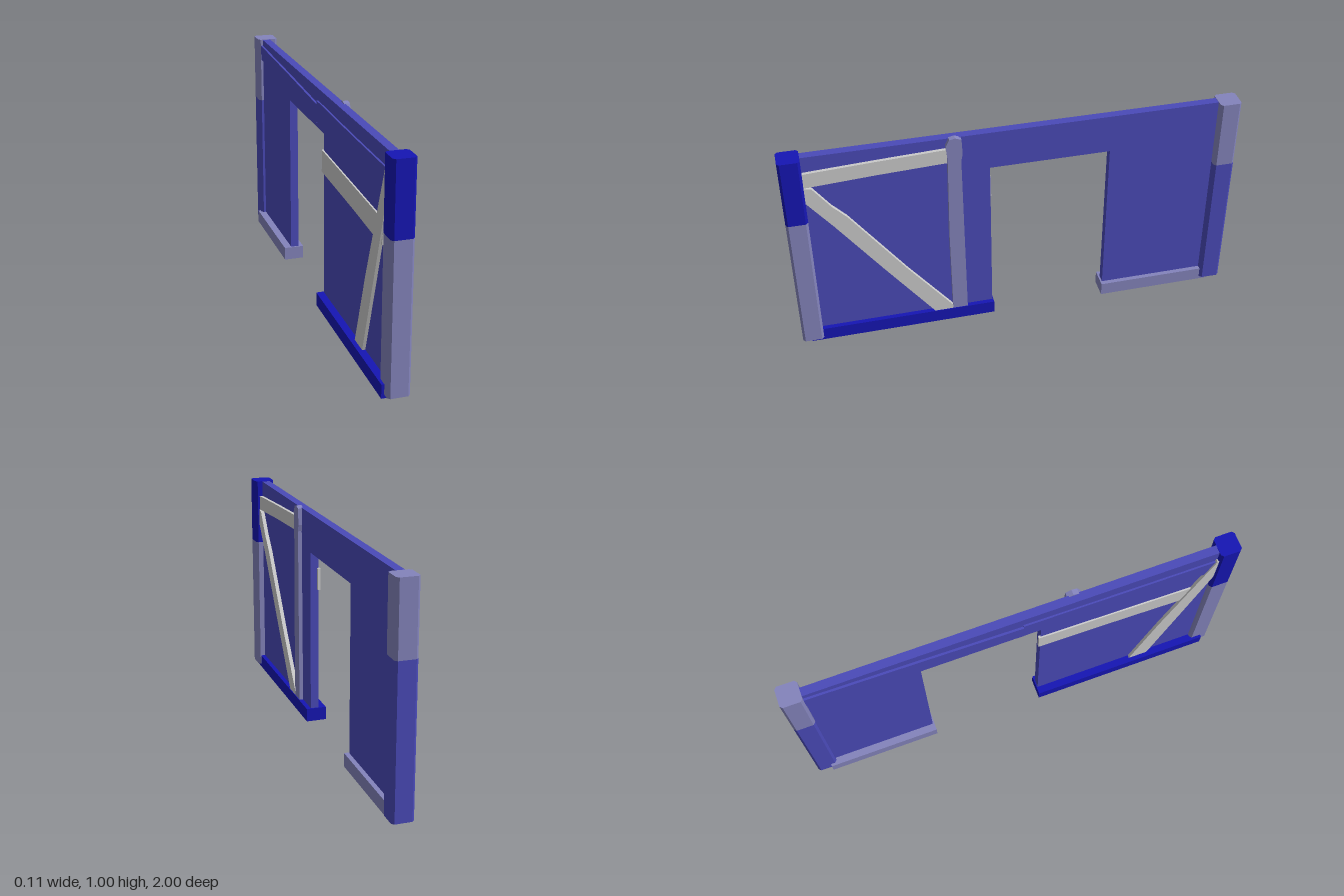
import * as THREE from 'three';

const paint = (color) => new THREE.MeshStandardMaterial({ color });
const BLUE = paint(0x1616b4), MID = paint(0x4a4ab8), PALE = paint(0x8484bc), GREY = paint(0xcccccc);

// Outline given as [z, y] points, extruded from x0 to x1
function slab(name, points, x0, x1, material) {
  const shape = new THREE.Shape(points.map(([z, y]) => new THREE.Vector2(z, y)));
  const geometry = new THREE.ExtrudeGeometry(shape, { depth: x1 - x0, bevelEnabled: false });
  geometry.rotateY(-Math.PI / 2).translate(x1, 0, 0);
  const mesh = new THREE.Mesh(geometry, material);
  mesh.name = name;
  return mesh;
}

const rect = (z0, z1, y0, y1) => [[z0, y0], [z1, y0], [z1, y1], [z0, y1]];

// Square post section with chamfered corners, between two heights
function post(name, z, y0, y1, material) {
  const h = 0.0475, c = 0.037;
  const outline = [[-h, -c], [-c, -h], [c, -h], [h, -c], [h, c], [c, h], [-c, h], [-h, c]];
  const shape = new THREE.Shape(outline.map(([a, b]) => new THREE.Vector2(a, b)));
  const geometry = new THREE.ExtrudeGeometry(shape, { depth: y1 - y0, bevelEnabled: false });
  geometry.rotateX(-Math.PI / 2).translate(0.0045, y0, z);
  const mesh = new THREE.Mesh(geometry, material);
  mesh.name = name;
  return mesh;
}

export function createModel() {
  const group = new THREE.Group();
  group.name = 'doorwayWall';

  // Wall panel: an upper portal around the doorway and two lower fields
  const w0 = -0.021, w1 = 0.017;
  group.add(
    slab('upperWall', [[0.92, 0.36], [0.92, 0.998], [-0.92, 0.998], [-0.92, 0.36],
      [-0.42, 0.36], [-0.42, 0.82], [0.115, 0.82], [0.115, 0.36]], w0, w1, MID),
    slab('lowerWallFront', rect(0.115, 0.92, 0.04, 0.36), w0, w1, MID),
    slab('lowerWallBack', rect(-0.92, -0.42, 0.04, 0.36), w0, w1, MID)
  );

  // Corner posts, each in two coloured lengths
  group.add(
    post('frontPostTop', 0.9525, 0.685, 1, BLUE),
    post('frontPostBottom', 0.9525, 0.025, 0.685, PALE),
    post('backPostTop', -0.9525, 0.685, 1, PALE),
    post('backPostBottom', -0.9525, 0.025, 0.685, MID)
  );

  // Sill beams on both sides of the doorway
  group.add(
    slab('frontSill', rect(0.11, 0.96, 0.008, 0.07), -0.055, 0.038, BLUE),
    slab('backSill', rect(-0.935, -0.412, 0.008, 0.07), -0.055, 0.038, PALE)
  );

  // Rough timber on the right face: upright, sloping rail and brace
  const r0 = 0.01, r1 = 0.035;
  group.add(
    slab('uprightTimber', [[0.235, 0.06], [0.303, 0.06], [0.306, 0.5], [0.3, 0.9],
      [0.306, 0.97], [0.29, 1], [0.265, 1.005], [0.238, 0.995], [0.235, 0.92], [0.242, 0.89]], r0, r1, PALE),
    slab('slopingRail', [[0.92, 0.855], [0.6, 0.873], [0.302, 0.885], [0.302, 0.952],
      [0.6, 0.94], [0.85, 0.928], [0.92, 0.924]], r0, r1 - 0.003, GREY),
    slab('brace', [[0.38, 0.06], [0.6, 0.36], [0.8, 0.64], [0.91, 0.785], [0.91, 0.855],
      [0.875, 0.85], [0.8, 0.745], [0.74, 0.68], [0.5, 0.345], [0.3, 0.085], [0.305, 0.06]], r0, r1, GREY)
  );

  // Rough timber on the left face: two top rails, a middle rail and a brace
  const l0 = -0.031, l1 = -0.015;
  group.add(
    slab('topRailBack', [[-0.92, 0.9], [-0.4, 0.875], [0.035, 0.845], [0.035, 0.93],
      [-0.4, 0.95], [-0.92, 0.97]], l0, l1, MID),
    slab('topRailFront', [[0.035, 0.85], [0.5, 0.84], [0.92, 0.83], [0.92, 0.93],
      [0.5, 0.935], [0.035, 0.945]], l0 + 0.002, l1, MID),
    slab('middleRail', [[0.105, 0.645], [0.5, 0.63], [0.86, 0.61], [0.88, 0.715],
      [0.5, 0.73], [0.105, 0.745]], l0 + 0.003, l1, GREY),
    slab('leftBrace', [[0.565, 0.01], [0.58, 0], [0.66, 0.015], [0.8, 0.45], [0.93, 0.86],
      [0.93, 0.95], [0.9, 0.94], [0.85, 0.81], [0.7, 0.41]], l0 - 0.004, l1, GREY)
  );

  return group;
}
